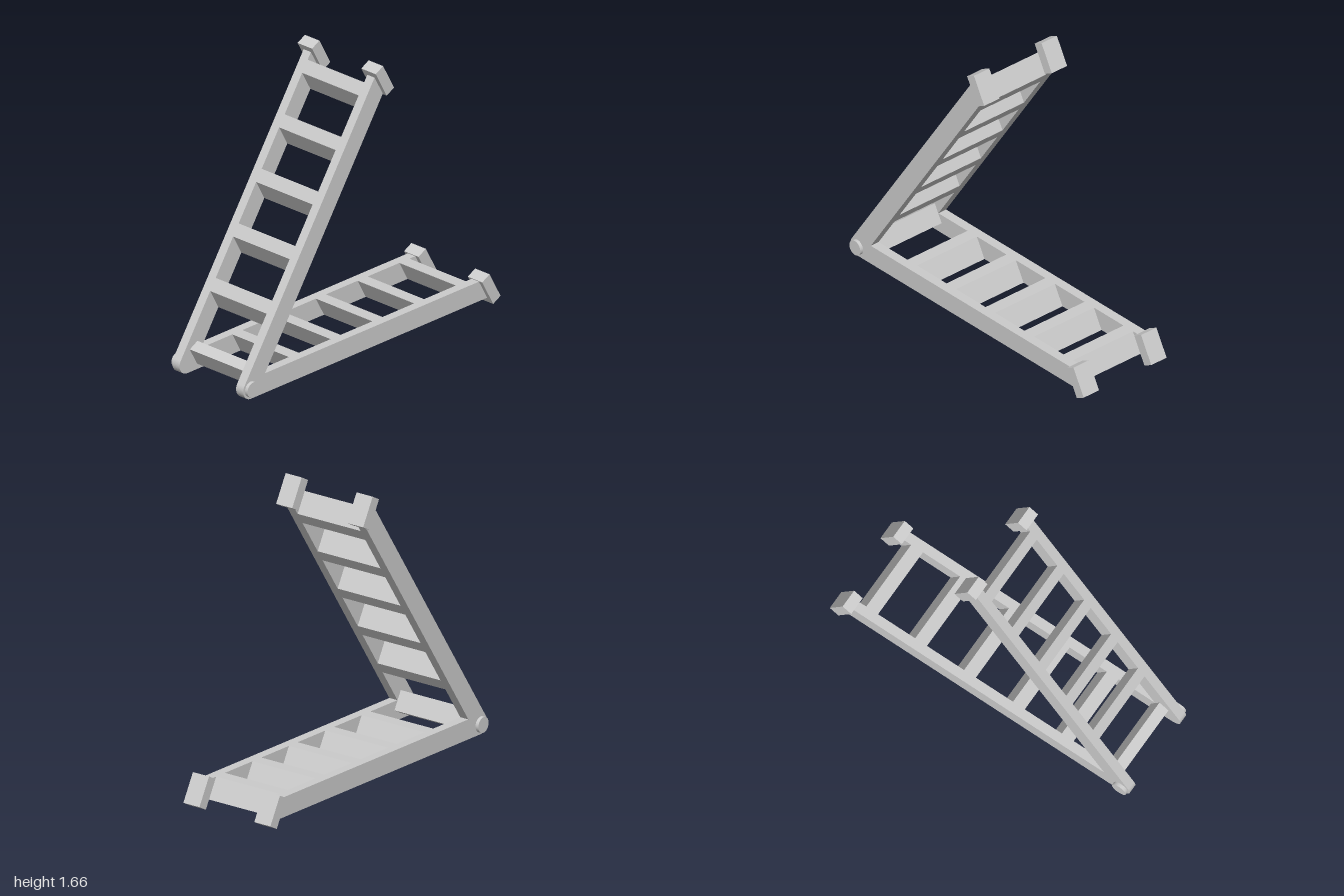
import * as THREE from 'three';

const deg = THREE.MathUtils.degToRad;
const LOW = deg(1.0), HIGH = deg(56.6);       // angles of the two legs above the ground
const MID = (LOW + HIGH) / 2;                 // direction halfway between them
const SLANT = Math.tan((HIGH - LOW) / 2);     // slant of rungs and rail ends
const HALF = 0.0575;                          // half height of a rail
const LENGTH = 1.81;                          // hinge to pad centre
const SIDE = 0.242;                           // rail offset from the middle
const RAIL = 0.055;                           // rail thickness
const RUNG_SPAN = 2 * SIDE - RAIL;

export function createModel() {
  const grey = new THREE.MeshStandardMaterial({ color: 0xcccccc });
  grey.name = 'light grey metal';

  const add = (parent, name, geometry, x = 0, y = 0, z = 0) => {
    const mesh = new THREE.Mesh(geometry, grey);
    mesh.name = name;
    mesh.position.set(x, y, z);
    parent.add(mesh);
    return mesh;
  };
  const extrude = (shape, depth) =>
    new THREE.ExtrudeGeometry(shape, { depth, bevelEnabled: false, curveSegments: 14 })
      .translate(0, 0, -depth / 2);

  // One ladder half; inner is +1 or -1 for the side that faces the other half
  const makeLeg = (name, angle, inner) => {
    const leg = new THREE.Group();
    leg.name = name;
    leg.rotation.z = angle;
    const s = inner * HALF * SLANT;

    // Rails with a round hinge end and a slanted outer end
    const rail = new THREE.Shape();
    rail.moveTo(0, -HALF);
    rail.lineTo(LENGTH + s, -HALF);
    rail.lineTo(LENGTH - s, HALF);
    rail.lineTo(0, HALF);
    rail.absarc(0, 0, HALF, Math.PI / 2, Math.PI * 1.5, false);
    const railGeometry = extrude(rail, RAIL);
    for (const side of [-1, 1]) add(leg, 'rail', railGeometry, 0, 0, side * SIDE);

    // Slanted rungs, flush with the rails
    const w = 0.0385;
    const rung = new THREE.Shape([
      new THREE.Vector2(-w + s, -HALF), new THREE.Vector2(w + s, -HALF),
      new THREE.Vector2(w - s, HALF), new THREE.Vector2(-w - s, HALF),
    ]);
    const rungGeometry = extrude(rung, RUNG_SPAN);
    for (let i = 0; i < 5; i++) add(leg, 'rung', rungGeometry, 0.415 + i * 0.319);
    return leg;
  };

  // Everything is built around the hinge axis
  const ladder = new THREE.Group();
  ladder.name = 'foldingLadder';
  ladder.position.set(-0.918, HALF, 0);
  ladder.add(makeLeg('lowerLeg', LOW, 1), makeLeg('upperLeg', HIGH, -1));

  // Bar beside the hinge
  const bar = add(ladder, 'hingeBar', new THREE.BoxGeometry(0.067, 0.115, RUNG_SPAN),
    Math.cos(MID) * 0.088, Math.sin(MID) * 0.088, 0);
  bar.rotation.z = MID;

  const padGeometry = new THREE.BoxGeometry(0.064, 0.174, 0.11);
  const pinGeometry = new THREE.CylinderGeometry(0.045, 0.045, 0.05, 28).rotateX(Math.PI / 2);
  for (const side of [-1, 1]) {
    // Hinge pin heads
    add(ladder, 'hingePin', pinGeometry, 0, 0, side * 0.264);
    // Foot pads on the free ends
    for (const angle of [LOW, HIGH]) {
      const pad = add(ladder, 'footPad', padGeometry,
        Math.cos(angle) * LENGTH, Math.sin(angle) * LENGTH, side * SIDE);
      pad.rotation.z = MID;
    }
  }

  // Turn the ladder on the ground
  const model = new THREE.Group();
  model.name = 'ladder';
  model.rotation.y = deg(23.15);
  model.add(ladder);
  const root = new THREE.Group();
  root.add(model);
  return root;
}
